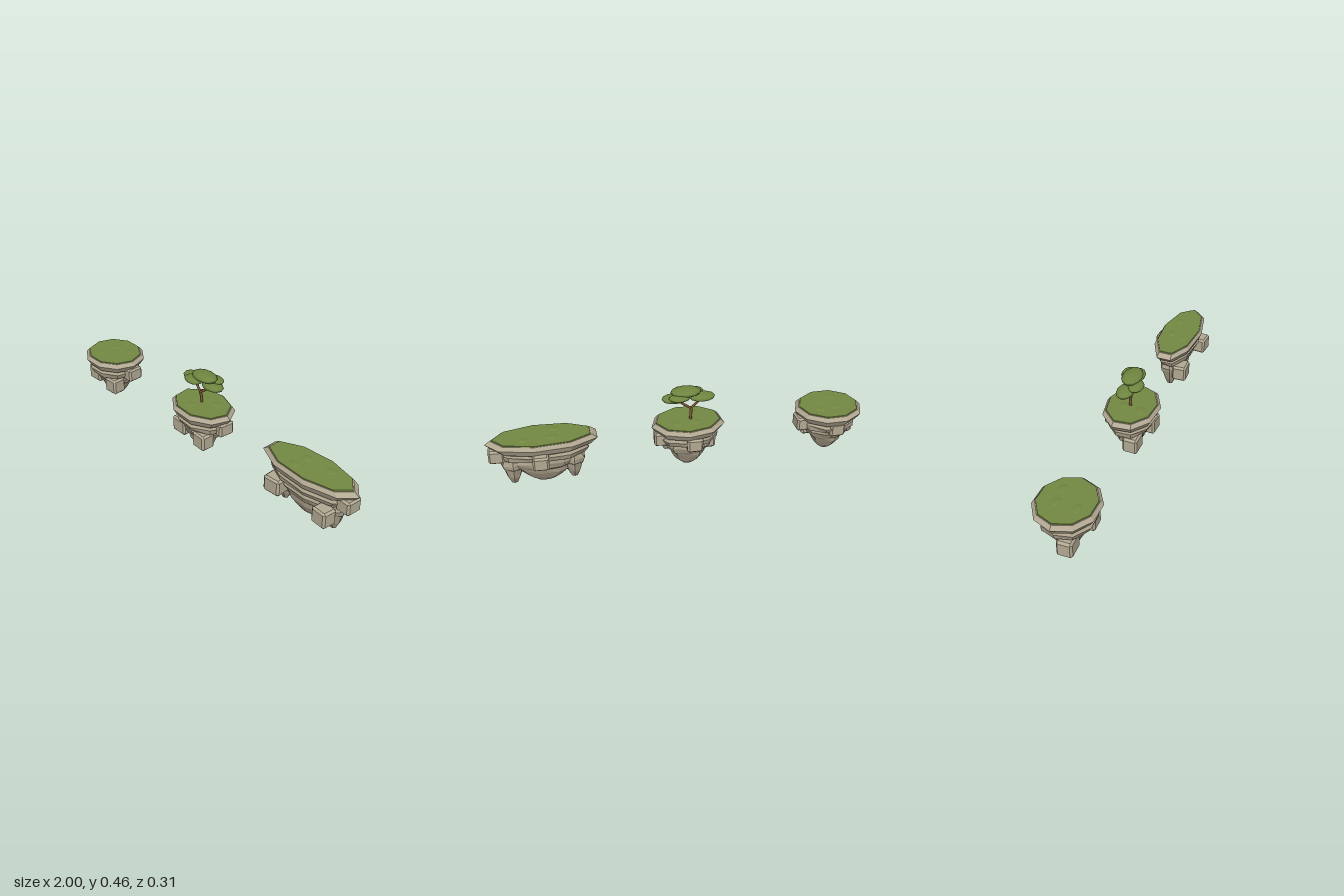
import * as THREE from 'three';
import { ConvexGeometry } from 'three/addons/geometries/ConvexGeometry.js';

const mat = (name, color, flatShading = true) =>
  Object.assign(new THREE.MeshStandardMaterial({ color, flatShading }), { name });

// Repeatable noise in -1..1
const noise = (a, b) => {
  const s = Math.sin(a * 127.1 + b * 311.7) * 43758.5453;
  return (s - Math.floor(s)) * 2 - 1;
};

// Stack of oval rings around the origin; each row is [height, scale], top to bottom
function ringStack({ rx, rz, sides, turn }, rows, jitter = 0) {
  const pos = [], index = [];
  for (const [y, scale] of rows) {
    for (let i = 0; i < sides; i++) {
      const a = turn + (i / sides) * Math.PI * 2;
      const r = scale * (1 + jitter * noise(i + rx * 10, y * 100));
      pos.push(rx * r * Math.cos(a), y, rz * r * Math.sin(a));
    }
  }
  for (let j = 0; j < rows.length - 1; j++) {
    for (let i = 0; i < sides; i++) {
      const a = j * sides + i, b = j * sides + (i + 1) % sides;
      index.push(a, b, a + sides, b, b + sides, a + sides);
    }
  }
  const g = new THREE.BufferGeometry();
  g.setAttribute('position', new THREE.Float32BufferAttribute(pos, 3));
  g.setIndex(index);
  g.computeVertexNormals();
  return g;
}

// Box with bevelled edges and corners
function boulderGeometry(w, h, d) {
  const pts = [], c = 0.76, s = [-0.5, 0.5];
  for (const x of s) for (const y of s) for (const z of s) {
    pts.push(new THREE.Vector3(x * w, y * h * c, z * d * c),
      new THREE.Vector3(x * w * c, y * h, z * d * c),
      new THREE.Vector3(x * w * c, y * h * c, z * d));
  }
  return new ConvexGeometry(pts);
}

// Profiles shared by all islands
const GRASS = [[0.276, 0], [0.275, 0.87], [0.266, 0.88]];
const RIM = [[0.27, 0.8], [0.27, 0.9], [0.25, 1], [0.215, 0.87], [0.21, 0.7]];
const BODY = [[0.225, 0.82], [0.205, 0.75], [0.195, 0.85], [0.168, 0.8], [0.155, 0.62],
  [0.138, 0.66], [0.108, 0.57], [0.095, 0.49], [0.07, 0.44], [0.035, 0.31], [0.01, 0.16], [0.004, 0]];
const LOBE = [[0.16, 0.8], [0.135, 1], [0.11, 0.94], [0.1, 0.8], [0.05, 0.6], [0.01, 0.28], [0, 0]];

// Boulder heights and sizes: two in front, one at the side, one behind
const BOULDERS = [[0.117, 0.1, 0.09, 0.08], [0.117, 0.09, 0.09, 0.08],
  [0.19, 0.08, 0.075, 0.09], [0.183, 0.082, 0.075, 0.08]];

// Boulder spots are [x, z] from each island's middle
const ROUND_SPOTS = [[-0.105, 0.045], [0.08, 0.07], [0.142, -0.01], [-0.015, -0.095]];
const LONG_SPOTS = [[-0.157, 0.066], [0.161, 0.079], [0.238, 0.001], [0.021, -0.1]];
const ISLANDS = [
  { name: 'rightIsland', cx: -0.817, cz: -0.005, rx: 0.183, rz: 0.163, sides: 10, turn: 0,
    spots: ROUND_SPOTS, lobes: [] },
  { name: 'middleIsland', cx: -0.047, cz: -0.005, rx: 0.195, rz: 0.146, sides: 9, turn: -0.09,
    spots: ROUND_SPOTS, lobes: [] },
  { name: 'leftIsland', cx: 0.707, cz: -0.012, rx: 0.293, rz: 0.118, sides: 9, turn: 0,
    spots: LONG_SPOTS, lobes: [-0.147, 0.163] },
];

function buildTree(bark, leaf) {
  const tree = new THREE.Group();
  tree.name = 'tree';
  const limb = (name, radius, ...pts) => {
    const curve = new THREE.CatmullRomCurve3(pts.map(p => new THREE.Vector3(...p)));
    const m = new THREE.Mesh(new THREE.TubeGeometry(curve, 8, radius, 7), bark);
    m.name = name;
    tree.add(m);
  };
  const fork = [-0.065, 0.335, -0.004];
  limb('trunk', 0.0075, [-0.06, 0.265, -0.008], [-0.062, 0.3, -0.009], fork);
  limb('branch', 0.0065, fork, [-0.084, 0.357, -0.004], [-0.12, 0.398, -0.01]);
  limb('branch', 0.0065, fork, [-0.035, 0.358, -0.008], [0.015, 0.4, -0.01]);

  // Flattened foliage pads: centre, then radii
  for (const [x, y, z, rx, ry, rz] of [
    [-0.035, 0.44, -0.008, 0.08, 0.022, 0.052], [-0.12, 0.404, -0.01, 0.068, 0.02, 0.046],
    [0.023, 0.406, -0.01, 0.068, 0.02, 0.046], [-0.08, 0.418, 0.03, 0.056, 0.018, 0.04],
    [0.005, 0.424, -0.042, 0.056, 0.016, 0.038]]) {
    const pad = new THREE.Mesh(new THREE.SphereGeometry(1, 12, 8), leaf);
    pad.name = 'foliagePad';
    pad.position.set(x, y, z);
    pad.scale.set(rx, ry, rz);
    tree.add(pad);
  }
  return tree;
}

export function createModel() {
  const rock = mat('rock', 0xa89e88);
  const paleRock = mat('paleRock', 0xb3a993);
  const grass = mat('grass', 0x738842);
  const leaf = mat('leaf', 0x6f853f, false);
  const bark = mat('bark', 0x7e5938, false);
  const model = new THREE.Group();
  model.name = 'floatingIslands';

  for (const spec of ISLANDS) {
    const island = new THREE.Group();
    island.name = spec.name;
    island.position.set(spec.cx, 0, spec.cz);
    const add = (name, geometry, material) => {
      const m = new THREE.Mesh(geometry, material);
      m.name = name;
      island.add(m);
      return m;
    };

    // Rocky layers and grass cap
    add('rim', ringStack(spec, RIM), paleRock);
    add('rockBody', ringStack(spec, BODY, 0.05), rock);
    add('grassCap', ringStack(spec, GRASS), grass);

    // Hanging lobes under the long island
    for (const x of spec.lobes) {
      const oval = { rx: 0.064, rz: 0.06, sides: 7, turn: 0.2 };
      add('hangingLobe', ringStack(oval, LOBE, 0.07), rock).position.x = x;
    }

    // Embedded boulders
    BOULDERS.forEach(([y, w, h, d], i) => {
      const [x, z] = spec.spots[i];
      const b = add('boulder', boulderGeometry(w, h, d), paleRock);
      b.position.set(x, y, z);
      b.rotation.y = 0.1 * noise(i, spec.cx);
    });

    // Low grass mounds
    for (const [x, z] of [[-0.15, -0.25], [0.33, -0.3], [-0.2, 0.4]]) {
      const mound = add('grassMound', new THREE.SphereGeometry(1, 8, 4), grass);
      mound.position.set(x * spec.rx, 0.275, z * spec.rz);
      mound.scale.set(0.032, 0.005, 0.024);
    }
    model.add(island);
  }
  model.add(buildTree(bark, leaf));
  return model;
}
